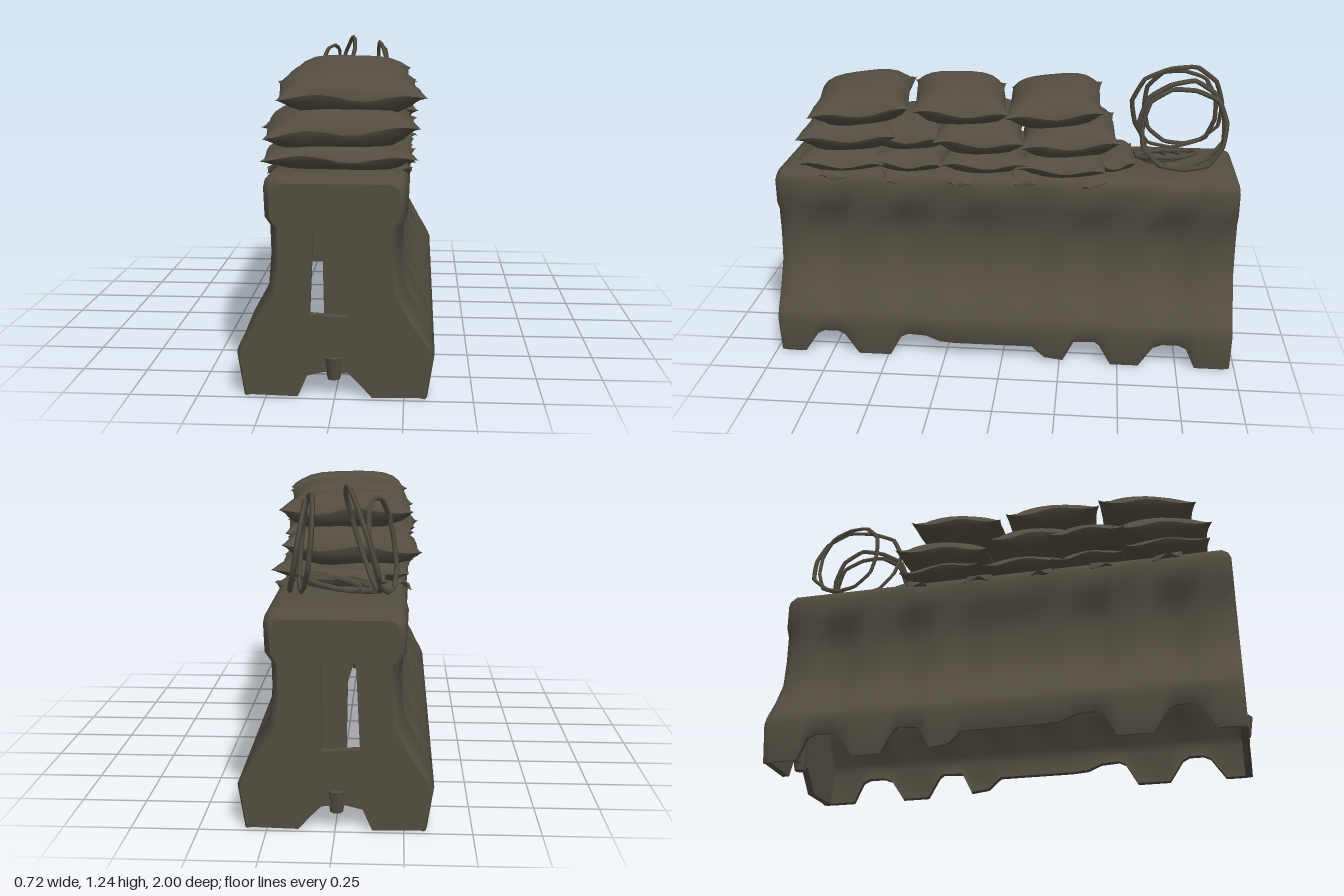
import * as THREE from 'three';
import { toCreasedNormals } from 'three/addons/utils/BufferGeometryUtils.js';

const drab = new THREE.MeshStandardMaterial({ color: 0x534d41, side: THREE.DoubleSide });
drab.name = 'drab olive';

function add(parent, geometry, name) {
  const mesh = new THREE.Mesh(geometry, drab);
  mesh.name = name;
  parent.add(mesh);
  return mesh;
}

const toPoints = (list) => list.map(([x, y]) => new THREE.Vector2(x, y));

// Height of the scalloped lower edge along the length: [z, y]
const EDGE = [[-0.98, 0.01], [-0.97, 0.01], [-0.945, 0.01], [-0.83, 0.01], [-0.79, 0.1], [-0.76, 0.115],
  [-0.69, 0.115], [-0.65, 0.1], [-0.59, 0.01], [-0.47, 0.01], [-0.42, 0.1], [-0.4, 0.115], [-0.31, 0.11],
  [-0.265, 0.02], [-0.185, 0.03], [-0.13, 0.08], [-0.065, 0.08], [0, 0.08], [0.065, 0.08], [0.13, 0.08],
  [0.2, 0.08], [0.27, 0.085], [0.33, 0.11], [0.41, 0.115], [0.44, 0.1], [0.49, 0.01], [0.63, 0.01],
  [0.69, 0.1], [0.72, 0.115], [0.78, 0.115], [0.81, 0.1], [0.87, 0.01], [0.945, 0.01], [0.97, 0.01],
  [0.98, 0.01]];

// Open-bottomed cross-section of the barrier at z, from the right foot over the top to the left foot
function section(z, foot) {
  const inset = Math.abs(z) > 0.975 ? 0.028 : Math.abs(z) > 0.96 ? 0.011 : 0;
  const end = Math.abs(z) > 0.93;
  const rib = end ? 0 : 0.008 + 0.007 * Math.cos(z * 22) - Math.max(0, foot - 0.01) * 0.1;
  const lip = end ? 0 : 0.007 * Math.sin(z * 17 + 1);
  const half = [[0.315, foot + 0.004], [0.335, foot], [0.36, 0.17], [0.345, 0.205], [0.29 + rib, 0.3],
    [0.235 + rib, 0.4], [0.225 + rib, 0.52], [0.228 + rib, 0.635], [0.252 + lip, 0.67],
    [0.256 + lip, 0.775], [0.25, 0.803], [0.235, 0.817], [0.21, 0.823]]
    .map(([x, y]) => [y < 0.25 ? x - inset * 0.4 : x - inset * 0.8, y > 0.8 ? y - inset : y]);
  return [...half, ...half.map(([x, y]) => [-x, y]).reverse()];
}

// Hollow skin lofted through the sections
function barrierShell() {
  const pos = [], idx = [];
  const n = section(0, 0).length;
  for (const [z, foot] of EDGE) {
    for (const [x, y] of section(z, foot)) pos.push(x, y, z);
  }
  for (let k = 0; k < EDGE.length - 1; k++) {
    for (let i = 0; i < n - 1; i++) {
      const a = k * n + i, b = a + 1;
      idx.push(a, b, a + n, b, b + n, a + n);
    }
  }
  const g = new THREE.BufferGeometry();
  g.setAttribute('position', new THREE.Float32BufferAttribute(pos, 3));
  g.setIndex(idx);
  return toCreasedNormals(g, 1.0);
}

// Pierced end wall with a recessed slot and a connector nub
function endWall(dir) {
  const end = new THREE.Group();
  const arch = [[-0.135, 0.01], [-0.1, 0.09], [-0.04, 0.105], [0.05, 0.1], [0.09, 0.06], [0.135, 0.01]];
  const shape = new THREE.Shape(toPoints([...section(0.98, 0.01), ...arch]));
  shape.holes.push(new THREE.Path(toPoints([[-0.09, 0.32], [-0.075, 0.64], [0.05, 0.64], [0.05, 0.31]])));
  const wall = add(end, new THREE.ExtrudeGeometry(shape, { depth: 0.03, bevelEnabled: false }), 'endWall');
  wall.position.z = dir > 0 ? 0.95 : -0.98;
  const plate = new THREE.Shape(toPoints([[-0.04, 0.3], [-0.045, 0.56], [-0.07, 0.65], [0.06, 0.65], [0.06, 0.3]]));
  const inner = add(end, new THREE.ExtrudeGeometry(plate, { depth: 0.02, bevelEnabled: false }), 'slotPlate');
  inner.position.z = dir > 0 ? 0.93 : -0.95;
  const nub = add(end, new THREE.CylinderGeometry(0.038, 0.024, 0.085, 7), 'connectorNub');
  nub.position.set(-0.005, 0.118, dir * 0.963);
  return end;
}

// Pillow with pinched seams and flared corners
function sandbag(width, height, length) {
  const N = 12, pos = [], idx = [];
  for (const side of [1, -1]) {
    const base = pos.length / 3;
    for (let j = 0; j <= N; j++) {
      for (let i = 0; i <= N; i++) {
        const u = Math.sin((i / N - 0.5) * Math.PI), v = Math.sin((j / N - 0.5) * Math.PI);
        const puff = Math.pow(Math.max(0, (1 - u ** 4) * (1 - v ** 4)), 0.65);
        const ear = Math.pow(Math.abs(u * v), 6);
        pos.push(u * width / 2 * (0.95 - 0.05 * (1 - u * u) + 0.05 * ear),
          side * puff * height / 2 + 0.012 * Math.sin(u * 5 + v * 4) * (1 - puff),
          v * length / 2 * (0.93 + 0.07 * ear));
      }
    }
    for (let j = 0; j < N; j++) {
      for (let i = 0; i < N; i++) {
        const a = base + j * (N + 1) + i, b = a + 1, c = a + N + 1, d = c + 1;
        if (side > 0) idx.push(a, c, b, b, c, d);
        else idx.push(a, b, c, b, d, c);
      }
    }
  }
  const g = new THREE.BufferGeometry();
  g.setAttribute('position', new THREE.Float32BufferAttribute(pos, 3));
  g.setIndex(idx);
  g.computeVertexNormals();
  return g;
}

// Angular wire loop; lean shifts x with height, skew shifts x along z
function wireLoop(x, y, z, rz, ry, lean, skew, phase) {
  const pts = [];
  for (let i = 0; i < 11; i++) {
    const a = i / 11 * Math.PI * 2 + phase;
    const r = 1 + 0.04 * Math.sin(i * 2.3 + phase);
    const c = Math.cos(a) * r, s = Math.sin(a) * r;
    pts.push(new THREE.Vector3(x + lean * s + skew * c, y + ry * s, z + rz * c));
  }
  const path = new THREE.CatmullRomCurve3(pts, true, 'catmullrom', 0.15);
  return new THREE.TubeGeometry(path, 44, 0.01, 4, true);
}

export function createModel() {
  const model = new THREE.Group();

  const barrier = new THREE.Group();
  barrier.name = 'barrier';
  add(barrier, barrierShell(), 'barrierShell');
  for (const dir of [1, -1]) {
    const end = endWall(dir);
    end.name = dir > 0 ? 'frontEnd' : 'backEnd';
    barrier.add(end);
  }
  model.add(barrier);

  // Sandbags: [x, y, z, width, height, length, yaw, pitch, roll]
  const bags = new THREE.Group();
  bags.name = 'sandbags';
  const layout = [
    [0.03, 1.095, 0.62, 0.55, 0.16, 0.42, 0.11, 0.08, -0.03],
    [0.0, 1.095, 0.205, 0.53, 0.16, 0.41, 0.13, -0.06, -0.02],
    [-0.01, 1.09, -0.2, 0.54, 0.16, 0.41, 0.02, 0.07, -0.02],
    [0.0, 0.965, 0.68, 0.57, 0.16, 0.42, 0.1, 0.02, 0.03],
    [-0.03, 0.96, 0.4, 0.56, 0.14, 0.34, -0.05, 0.03, 0.02],
    [0.0, 0.975, 0.12, 0.56, 0.17, 0.38, 0.08, -0.04, -0.03],
    [-0.03, 0.95, -0.26, 0.56, 0.17, 0.42, 0.05, 0.06, 0.02],
    [0.0, 0.865, 0.7, 0.57, 0.11, 0.38, 0.05, 0, -0.02],
    [0.0, 0.86, 0.4, 0.55, 0.11, 0.32, -0.04, 0, 0.02],
    [0.0, 0.865, 0.09, 0.55, 0.12, 0.38, 0.04, 0, 0.02],
    [0.0, 0.865, -0.25, 0.56, 0.12, 0.38, -0.05, 0, -0.02],
    [0.0, 0.85, -0.45, 0.36, 0.08, 0.19, 0.05, 0.1, 0.02],
  ];
  for (const [x, y, z, w, h, l, yaw, pitch, roll] of layout) {
    const bag = add(bags, sandbag(w, h, l), 'sandbag');
    bag.position.set(x, y, z);
    bag.rotation.set(pitch, yaw, roll);
  }
  model.add(bags);

  // Upright wire loops and the slack coil lying beneath them
  const wire = new THREE.Group();
  wire.name = 'wireCoil';
  const loops = [
    [-0.09, 1.045, -0.725, 0.2, 0.2, 0.06, 0.035, 0.2],
    [-0.165, 1.025, -0.74, 0.16, 0.18, 0.03, -0.04, 0.5],
    [0.12, 1.03, -0.735, 0.18, 0.185, -0.02, 0.03, 0.1],
    [0.15, 1.02, -0.74, 0.18, 0.17, -0.03, 0.01, 0.7],
  ];
  for (const l of loops) add(wire, wireLoop(...l), 'uprightLoop');
  for (let i = 0; i < 3; i++) {
    add(wire, wireLoop(-0.02 + 0.025 * i, 0.85 + 0.012 * i, -0.62 - 0.03 * i,
      0.07 + 0.03 * i, 0.02, 0.15 - 0.02 * i, 0.03 * (i - 1), i), 'slackLoop');
  }
  model.add(wire);

  // Torn cloth scraps lying along the upper edges
  const scraps = new THREE.Group();
  scraps.name = 'clothScraps';
  for (const side of [1, -1]) {
    for (let i = 0; i < 5; i++) {
      const scrap = add(scraps, sandbag(0.1, 0.025, 0.13), 'clothScrap');
      scrap.position.set(side * 0.222, 0.82 - 0.006 * (i % 3), 0.72 - i * 0.27);
      scrap.rotation.set(0.05 * (i - 2), 0.3 * Math.sin(i * 2), -side * (0.4 + 0.15 * (i % 2)));
    }
  }
  model.add(scraps);

  return model;
}
